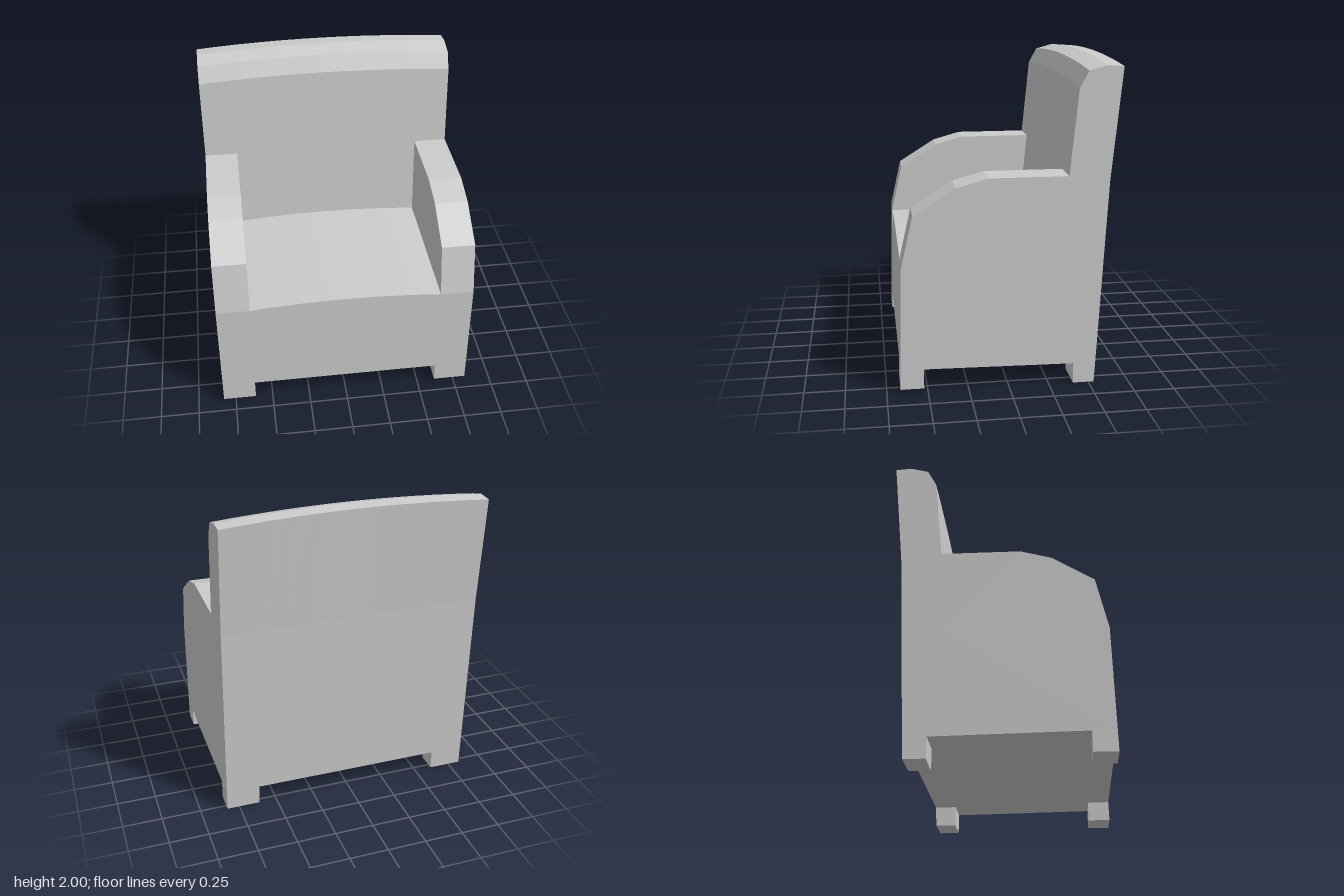
import * as THREE from 'three';

const HALF_W = 0.83; // half the outer width
const INNER = 0.615; // inner face of the arms

export function createModel() {
  const chair = new THREE.Group();
  const material = new THREE.MeshStandardMaterial({ color: 0xcccccc, flatShading: true });

  // Side profile of [z, y] points, extruded along x from x0 to x1.
  // Points above 'from' drop by 'drop' towards the ends, giving a crowned top.
  function panel(name, profile, x0, x1, crown) {
    const shape = new THREE.Shape(profile.map(([z, y]) => new THREE.Vector2(z, y)));
    const geometry = new THREE.ExtrudeGeometry(shape, {
      depth: x1 - x0, steps: crown ? 12 : 1, bevelEnabled: false,
    });
    geometry.rotateY(-Math.PI / 2).translate(x1, 0, 0);
    if (crown) {
      const pos = geometry.attributes.position;
      for (let i = 0; i < pos.count; i++) {
        const y = pos.getY(i);
        if (y > crown.from) pos.setY(i, y - crown.drop * (pos.getX(i) / x1) ** 2);
      }
      geometry.computeVertexNormals();
    }
    const mesh = new THREE.Mesh(geometry, material);
    mesh.name = name;
    chair.add(mesh);
  }

  // Backrest: full width, leaning back, rounded and crowned at the top
  panel('backrest', [
    [-0.305, 0.131], [-0.305, 0.79], [-0.355, 1.32], [-0.405, 1.87], [-0.46, 1.97],
    [-0.57, 2.0], [-0.667, 1.993], [-0.602, 1.28], [-0.542, 0.128],
  ], -HALF_W, HALF_W, { from: 1.5, drop: 0.034 });

  // Seat block between the arms, with a gently domed top
  panel('seat', [
    [-0.305, 0.131], [0.664, 0.147], [0.648, 0.81], [-0.305, 0.81],
  ], -INNER, INNER, { from: 0.7, drop: 0.029 });

  const arm = [
    [-0.305, 0.131], [0.664, 0.147], [0.649, 0.781], [0.575, 1.105],
    [0.32, 1.265], [0.13, 1.318], [-0.355, 1.318], [-0.305, 0.79],
  ];
  const frontFoot = [[0.523, 0.145], [0.523, 0.02], [0.667, 0.02], [0.664, 0.147]];
  const backFoot = [[-0.542, 0.128], [-0.535, 0], [-0.403, 0], [-0.403, 0.13]];

  // Arms and feet on both sides
  for (const [side, x0, x1] of [['left', INNER, HALF_W], ['right', -HALF_W, -INNER]]) {
    panel(side + 'Arm', arm, x0, x1);
    panel(side + 'FrontFoot', frontFoot, x0, x1);
    panel(side + 'BackFoot', backFoot, x0, x1);
  }
  return chair;
}
